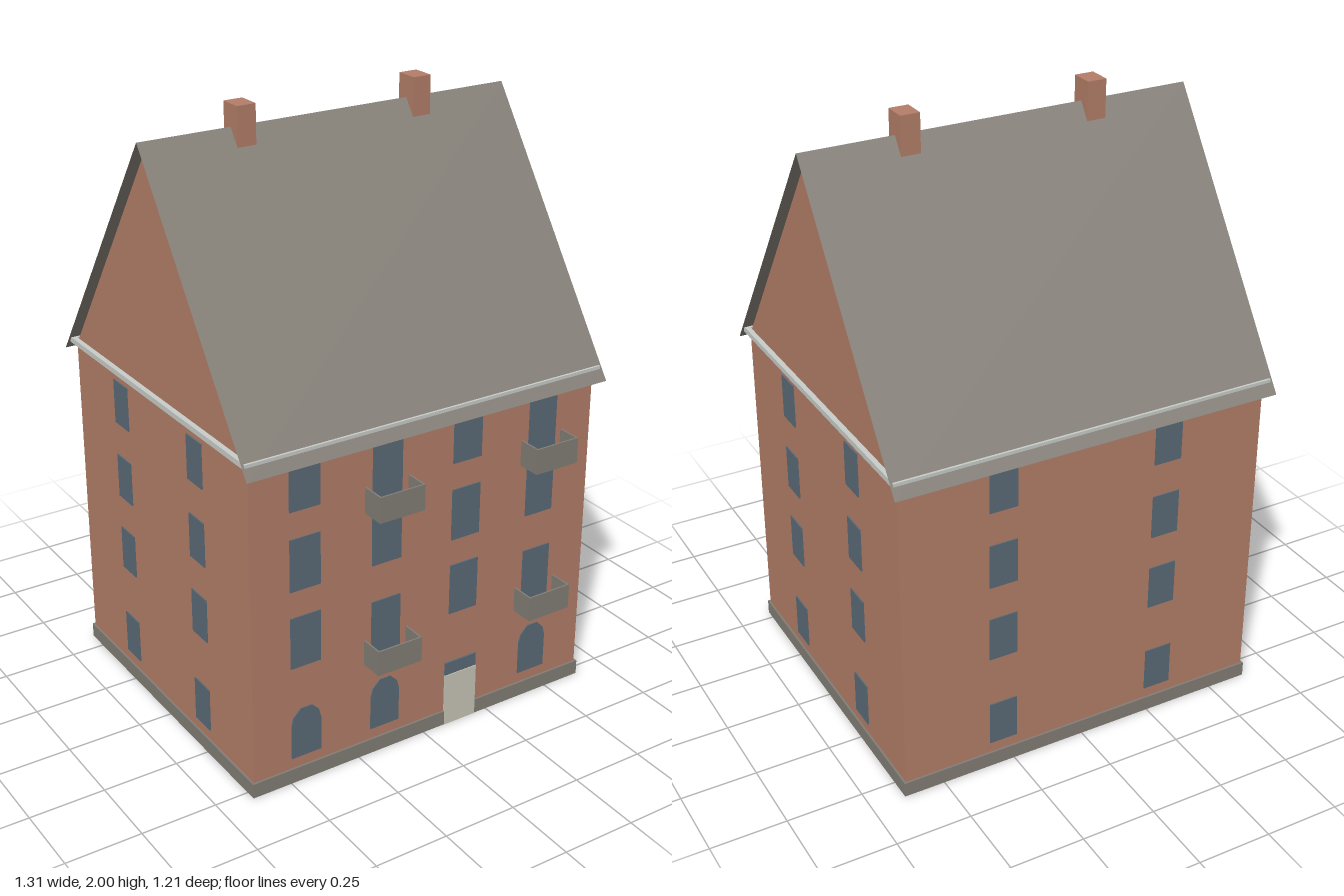
import * as THREE from 'three';

const mat = (name, color) => {
  const m = new THREE.MeshStandardMaterial({ color, side: THREE.DoubleSide });
  m.name = name;
  return m;
};

export function createModel() {
  const house = new THREE.Group();
  house.name = 'house';

  const brick = mat('brick', 0xb37e68);
  const stone = mat('grey stone', 0x827d75);
  const roofing = mat('roof grey', 0x87827a);
  const glass = mat('window blue', 0x5a6b77);
  const cream = mat('door cream', 0xc9c5b8);
  const trim = mat('pale trim', 0xc9cdc9);

  const W = 0.63, D = 0.5475, CZ = -0.0195; // half width, half depth, centre in z
  const EAVE = 1.12;

  const add = (name, geo, material, parent = house) => {
    const mesh = new THREE.Mesh(geo, material);
    mesh.name = name;
    parent.add(mesh);
    return mesh;
  };
  // box given by its limits
  const box = (name, material, x0, x1, y0, y1, z0, z1, parent) => {
    const m = add(name, new THREE.BoxGeometry(x1 - x0, y1 - y0, z1 - z0), material, parent);
    m.position.set((x0 + x1) / 2, (y0 + y1) / 2, (z0 + z1) / 2);
    return m;
  };

  // wall shell, open underneath: long walls and gabled end walls
  const gable = new THREE.Shape([[-D, 0], [D, 0], [D, EAVE], [0, 1.9], [-D, EAVE]]
    .map(([x, y]) => new THREE.Vector2(x, y)));
  for (const s of [1, -1]) {
    const wall = add(s > 0 ? 'frontWall' : 'backWall', new THREE.PlaneGeometry(2 * W, EAVE), brick);
    wall.position.set(0, EAVE / 2, CZ + s * D);
    if (s < 0) wall.rotation.y = Math.PI;
    const end = add(s > 0 ? 'leftGableWall' : 'rightGableWall', new THREE.ShapeGeometry(gable), brick);
    end.position.set(s * W, 0, CZ);
    end.rotation.y = s * Math.PI / 2;
  }

  // roof: two thin sheets meeting at the ridge
  const run = 0.5875, low = 1.095, ridge = 1.93;
  for (const s of [1, -1]) {
    const geo = new THREE.PlaneGeometry(1.31, Math.hypot(run, ridge - low));
    geo.rotateX(-Math.atan2(run, ridge - low));
    if (s < 0) geo.rotateY(Math.PI);
    add(s > 0 ? 'frontRoof' : 'backRoof', geo, roofing)
      .position.set(0, (low + ridge) / 2, CZ + s * run / 2);
  }

  // chimneys
  for (const s of [1, -1]) {
    box('chimney', brick, s * 0.314 - 0.032, s * 0.314 + 0.032, 1.82, 2, CZ - 0.0385, CZ + 0.0385);
  }

  // plinth, interrupted by the door
  const pw = 0.637, pd = 0.555;
  const plinth = new THREE.Group();
  plinth.name = 'plinth';
  house.add(plinth);
  box('plinthFront', stone, -pw, 0.081, 0, 0.05, CZ + D, CZ + pd, plinth);
  box('plinthFront', stone, 0.203, pw, 0, 0.05, CZ + D, CZ + pd, plinth);
  box('plinthBack', stone, -pw, pw, 0, 0.05, CZ - pd, CZ - D, plinth);
  box('plinthLeft', stone, W, pw, 0, 0.05, CZ - D, CZ + D, plinth);
  box('plinthRight', stone, -pw, -W, 0, 0.05, CZ - D, CZ + D, plinth);

  // eaves band around the walls
  const cw = 0.647, cd = 0.5635;
  const band = new THREE.Group();
  band.name = 'eavesBand';
  house.add(band);
  box('bandFront', trim, -cw, cw, 1.122, 1.14, CZ + D, CZ + cd, band);
  box('bandBack', trim, -cw, cw, 1.122, 1.14, CZ - cd, CZ - D, band);
  box('bandLeft', trim, W, cw, 1.122, 1.14, CZ - D, CZ + D, band);
  box('bandRight', trim, -cw, -W, 1.122, 1.14, CZ - D, CZ + D, band);

  // a window plate set against a wall turned by angle
  const pane = (angle, u, w, y0, y1) => {
    const g = new THREE.BoxGeometry(w, y1 - y0, 0.004);
    g.translate(u, (y0 + y1) / 2, (Math.abs(Math.sin(angle)) > 0.5 ? W : D) + 0.002);
    g.rotateY(angle);
    add('window', g, glass).position.z = CZ;
  };

  // front windows; the second and fourth columns open onto balconies
  const cols = [-0.442, -0.151, 0.145, 0.436];
  cols.forEach((x, i) => {
    const rows = i % 2 ? [[0.33, 0.548], [0.675, 0.85], [0.857, 1.077]]
      : [[0.41, 0.585], [0.675, 0.85], [0.94, 1.11]];
    for (const [a, b] of rows) pane(0, x, 0.106, a, b);
  });

  // arched ground floor windows, set through the front wall
  const arch = new THREE.Shape([[-0.053, 0.087], [0.053, 0.087], [0.053, 0.205], [0.045, 0.235],
    [0.02, 0.26], [-0.02, 0.26], [-0.045, 0.235], [-0.053, 0.205]]
    .map(([x, y]) => new THREE.Vector2(x, y)));
  for (const i of [0, 1, 3]) {
    add('archedWindow', new THREE.ExtrudeGeometry(arch, { depth: 0.008, bevelEnabled: false }), glass)
      .position.set(cols[i], 0, CZ + D - 0.004);
  }

  // side and back windows
  for (const y of [0.087, 0.41, 0.675, 0.939]) {
    for (const s of [1, -1]) {
      pane(Math.PI / 2, s * 0.238, 0.09, y, y + 0.15);
      pane(-Math.PI / 2, s * 0.238, 0.09, y, y + 0.15);
      pane(Math.PI, s * 0.287, 0.095, y, y + 0.15);
    }
  }

  // door with a glazed strip above
  box('door', cream, 0.082, 0.203, 0, 0.185, CZ + D, CZ + D + 0.009);
  box('transom', glass, 0.082, 0.203, 0.185, 0.23, CZ + D, CZ + D + 0.006);

  // balconies: floor and three parapet panels, open on top
  const t = 0.006, front = 0.608, back = CZ + D;
  for (const x of [-0.149, 0.437]) {
    for (const [y0, y1] of [[0.335, 0.42], [0.862, 0.948]]) {
      const b = new THREE.Group();
      b.name = 'balcony';
      house.add(b);
      box('balconyFloor', stone, x - 0.081, x + 0.081, y0, y0 + t, back, front, b);
      box('balconyFront', stone, x - 0.081, x + 0.081, y0 + t, y1, front - t, front, b);
      for (const s of [1, -1]) {
        const px = x + s * (0.081 - t / 2);
        box('balconySide', stone, px - t / 2, px + t / 2, y0 + t, y1, back, front - t, b);
      }
    }
  }

  return house;
}
